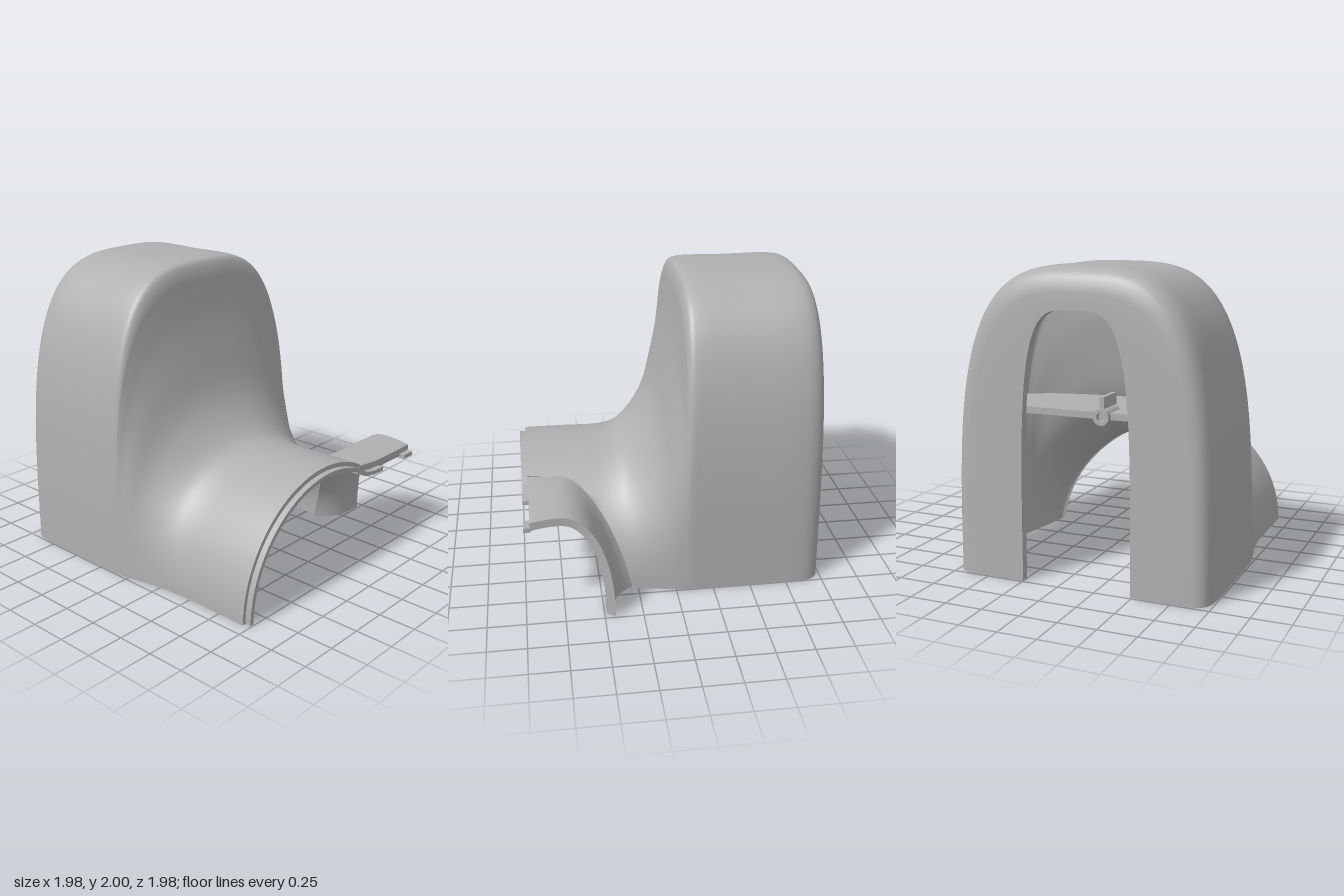
import * as THREE from 'three';
import { toCreasedNormals } from 'three/addons/utils/BufferGeometryUtils.js';

const CX = -0.12;    // centre line of the hood
const WALL = 0.055;  // shell thickness
const ARCH_H = 0.68; // height of the side branch
const BRANCH_Z = 0.77;

// Joins a closed list of open cross-sections, then caps the two long edges.
function loft(sections) {
  const pos = [];
  const tri = (a, b, c) => {
    const n = b.clone().sub(a).cross(c.clone().sub(a));
    if (n.length() > 1e-9) for (const p of [a, b, c]) pos.push(p.x, p.y, p.z);
  };
  const m = sections.length, last = sections[0].length - 1;
  for (let i = 0; i < m; i++) {
    const s = sections[i], t = sections[(i + 1) % m];
    for (let j = 0; j < last; j++) {
      tri(s[j], t[j], s[j + 1]);
      tri(s[j + 1], t[j], t[j + 1]);
    }
  }
  for (let i = 0; i < m / 2 - 1; i++) {
    const a = sections[i], b = sections[i + 1], c = sections[m - 1 - i], d = sections[m - 2 - i];
    tri(a[0], c[0], b[0]);
    tri(b[0], c[0], d[0]);
    tri(a[last], b[last], c[last]);
    tri(b[last], d[last], c[last]);
  }
  const g = new THREE.BufferGeometry();
  g.setAttribute('position', new THREE.Float32BufferAttribute(pos, 3));
  return toCreasedNormals(g, 0.7);
}

// Back edge of the branch where it flares into the hood, at height y
const flare = (y, t) => 0.15 * (1 - y / (ARCH_H - t));
function branchBack(y, t) {
  const k = Math.pow(y / (ARCH_H - t), 2.3);
  return BRANCH_Z - (0.34 - t) * Math.pow(Math.max(0, 1 - k), 1 / 2.3) - flare(y, t);
}

// Superelliptic arch in the xy plane, trimmed where the branch opens
function arch(z, w, h, n, t) {
  const pts = [], N = 72;
  for (let j = 0; j <= N; j++) {
    const a = Math.PI * j / N, c = Math.cos(a), s = j % N ? Math.sin(a) : 0;
    const x = CX + w * Math.sign(c) * Math.pow(Math.abs(c), 2 / n);
    const y = h * Math.pow(s, 2 / n);
    const open = x > 0.2 && y < ARCH_H - t;
    pts.push(new THREE.Vector3(x, y, open ? Math.min(z, branchBack(y, t)) : z));
  }
  return pts;
}

// Hood: [z, half width, height] from the front tunnel to the back wall
function hoodGeometry() {
  const stations = [
    [0.95, 0.79, 0.795], [0.7, 0.79, 0.795], [0.42, 0.79, 0.795], [0.3, 0.8, 0.82],
    [0.2, 0.815, 0.9], [0.1, 0.835, 1.04], [0.05, 0.845, 1.16], [0, 0.855, 1.36],
    [-0.05, 0.863, 1.6], [-0.075, 0.867, 1.8], [-0.09, 0.868, 1.92], [-0.12, 0.87, 1.985],
    [-0.17, 0.87, 2], [-0.5, 0.87, 2], [-0.82, 0.87, 2], [-0.9, 0.86, 1.985],
    [-0.95, 0.835, 1.95], [-0.98, 0.79, 1.88], [-0.988, 0.73, 1.8],
  ];
  const curve = new THREE.CatmullRomCurve3(stations.map(s => new THREE.Vector3(...s)));
  const outer = [], inner = [], N = 90;
  for (let i = 0; i <= N; i++) {
    const p = curve.getPoint(i / N), d = curve.getTangent(i / N);
    const len = Math.hypot(d.x, d.z) || 1;
    const k = Math.min(1, Math.max(0, (p.z - 0.795) / 1.205));
    const n = 2 + 1.35 * Math.pow(k, 0.8);
    outer.push(arch(p.x, p.y, p.z, n, 0));
    const z = i === 0 ? p.x : p.x - WALL * d.z / len;
    inner.push(arch(z, p.y - WALL, p.z + WALL * d.x / len, n, WALL));
  }
  // Arched doorway in the back wall
  outer.push(arch(-0.988, 0.37, 1.74, 4, 0));
  inner.push(arch(-0.935, 0.37, 1.74, 4, WALL));
  return loft([...outer, ...inner.reverse()]);
}

// Half arch running out to the left side, cut open at the front
function branchGeometry() {
  const layer = t => {
    const H = ARCH_H - t, half = 0.34 - t, profile = [];
    for (let i = 0; i < 5; i++) profile.push([0.95 - 0.036 * i, H]);
    for (let i = 0; i <= 28; i++) {
      const a = Math.PI / 2 * (1 - i / 28);
      profile.push([
        BRANCH_Z - half * Math.pow(Math.max(0, Math.cos(a)), 2 / 2.3),
        H * Math.pow(Math.sin(a), 2 / 2.3),
      ]);
    }
    const rows = [];
    for (let i = 0; i <= 24; i++) {
      const s = i / 24;
      rows.push(profile.map(([z, y]) => {
        const root = CX + Math.sqrt((0.793 - t) ** 2 - y * y) - 0.015;
        const back = Math.max(0, BRANCH_Z - z) / 0.34;
        const rim = 0.87 + 0.115 * back * back;
        const front = Math.max(0, z - BRANCH_Z) / 0.18;
        return new THREE.Vector3(
          root + (rim - root) * s,
          y - 0.022 * front * front * Math.min(1, s * 3),
          z - flare(y, t) * Math.pow(1 - s, 4));
      }));
    }
    return rows;
  };
  return loft([...layer(0), ...layer(WALL).reverse()]);
}

// Thin tongue that follows the front edge of the tunnel
function tongueGeometry() {
  const ring = (r, y) => {
    const pts = [];
    for (let i = 0; i <= 40; i++) {
      const a = Math.PI - (Math.PI - 0.98) * i / 40;
      pts.push(new THREE.Vector2(CX + r * Math.cos(a), Math.max(0, r * Math.sin(a))));
    }
    pts.push(new THREE.Vector2(0.39, y + 0.005), new THREE.Vector2(0.5, y));
    return pts;
  };
  const shape = new THREE.Shape([...ring(0.765, 0.615), ...ring(0.737, 0.588).reverse()]);
  return new THREE.ExtrudeGeometry(shape, { depth: 0.05, bevelEnabled: false });
}

// Shelf outline, bowed to meet the sloping front wall
function shelfGeometry() {
  const side = [[0.8, -0.12], [0.76, -0.08], [0.65, -0.02], [0.4, 0.055]];
  const outline = [[0.8, -0.56], ...side, [0, 0.07],
    ...side.map(([x, z]) => [-x, z]).reverse(), [-0.8, -0.56]];
  const shape = new THREE.Shape(outline.map(([x, z]) => new THREE.Vector2(x, -z)));
  const g = new THREE.ExtrudeGeometry(shape, { depth: 0.045, bevelEnabled: false });
  return g.rotateX(-Math.PI / 2);
}

function bossGeometry() {
  const shape = new THREE.Shape().absarc(0, 0, 0.055, 0, Math.PI * 2);
  shape.holes.push(new THREE.Path().absarc(0, 0, 0.03, 0, Math.PI * 2, true));
  return new THREE.ExtrudeGeometry(shape, { depth: 0.2, bevelEnabled: false, curveSegments: 16 });
}

export function createModel() {
  const model = new THREE.Group();
  model.name = 'hoodedCover';
  const grey = new THREE.MeshStandardMaterial({ color: 0xb0b0b0, side: THREE.DoubleSide });
  grey.name = 'plain grey';

  const add = (name, geometry, x = 0, y = 0, z = 0) => {
    const mesh = new THREE.Mesh(geometry, grey);
    mesh.name = name;
    mesh.position.set(x, y, z);
    model.add(mesh);
  };

  add('hoodShell', hoodGeometry());
  add('sideBranch', branchGeometry());
  add('frontTongue', tongueGeometry(), 0, 0, 0.94);
  add('branchTongue', new THREE.BoxGeometry(0.1, 0.03, 0.05), 0.815, 0.605, 0.965);

  // Fittings inside the hood
  add('innerShelf', shelfGeometry(), CX, 1.0, 0);
  add('screwBoss', bossGeometry(), CX, 1.02, -0.6);
  add('bossRib', new THREE.BoxGeometry(0.03, 0.08, 0.2), CX, 1.11, -0.48);
  return model;
}
